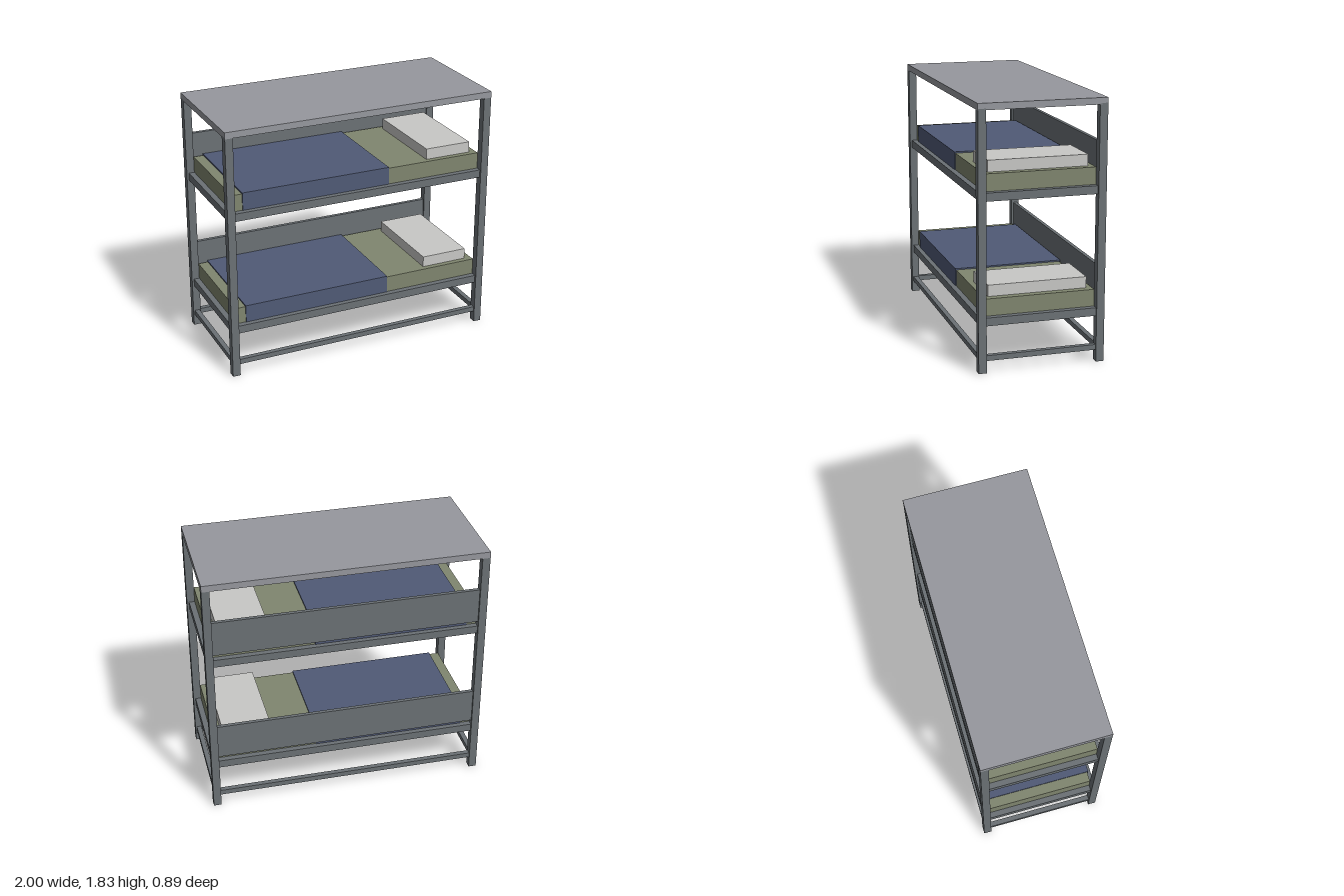
import * as THREE from 'three';

const mat = (name, color) => {
  const m = new THREE.MeshStandardMaterial({ color });
  m.name = name;
  return m;
};

export function createModel() {
  const frame = mat('frame grey', 0x6b7175);
  const roofGrey = mat('roof grey', 0x96989e);
  const olive = mat('mattress olive', 0x80866f);
  const blue = mat('blanket blue', 0x505a76);
  const white = mat('pillow white', 0xc8c8c6);
  const model = new THREE.Group();
  model.name = 'bunkBed';

  // Box given by its lower and upper limits on each axis
  const box = (parent, name, material, [x0, x1], [y0, y1], [z0, z1]) => {
    const mesh = new THREE.Mesh(new THREE.BoxGeometry(x1 - x0, y1 - y0, z1 - z0), material);
    mesh.position.set((x0 + x1) / 2, (y0 + y1) / 2, (z0 + z1) / 2);
    mesh.name = name;
    parent.add(mesh);
  };
  const around = (c, size) => [c - size / 2, c + size / 2];

  const post = 0.056, px = 1 - post / 2, pz = 0.445 - post / 2;
  const ix = 1 - post, iz = 0.445 - post;

  // Corner posts, and low ties between them
  for (const s of [-1, 1]) {
    for (const t of [-1, 1]) {
      box(model, 'post', frame, around(s * px, post), [0, 1.79], around(t * pz, post));
    }
    box(model, 'longTie', frame, [-ix, ix], [0.083, 0.12], around(s * pz, 0.036));
    box(model, 'endTie', frame, around(s * px, 0.036), [0.083, 0.12], [-iz, iz]);
  }

  // Flat roof
  box(model, 'roof', roofGrey, [-1, 1], [1.78, 1.826], [-0.446, 0.446]);

  // Two bunks, each with deck, back guard and bedding
  [0.325, 1.176].forEach((y, i) => {
    const bunk = new THREE.Group();
    bunk.name = i ? 'upperBunk' : 'lowerBunk';
    bunk.position.y = y;
    model.add(bunk);
    box(bunk, 'deck', frame, [-0.985, 0.985], [0, 0.057], [-0.43, 0.43]);
    box(bunk, 'backGuard', frame, [-ix, ix], [0.095, 0.351], [-0.43, -0.403]);
    box(bunk, 'mattress', olive, [-ix, ix], [0.057, 0.176], [-iz, iz]);
    box(bunk, 'blanket', blue, [-0.872, 0.225], [0.059, 0.186], [-0.397, 0.397]);
    box(bunk, 'pillow', white, [0.545, 0.893], [0.176, 0.255], [-0.35, 0.35]);
  });
  return model;
}
